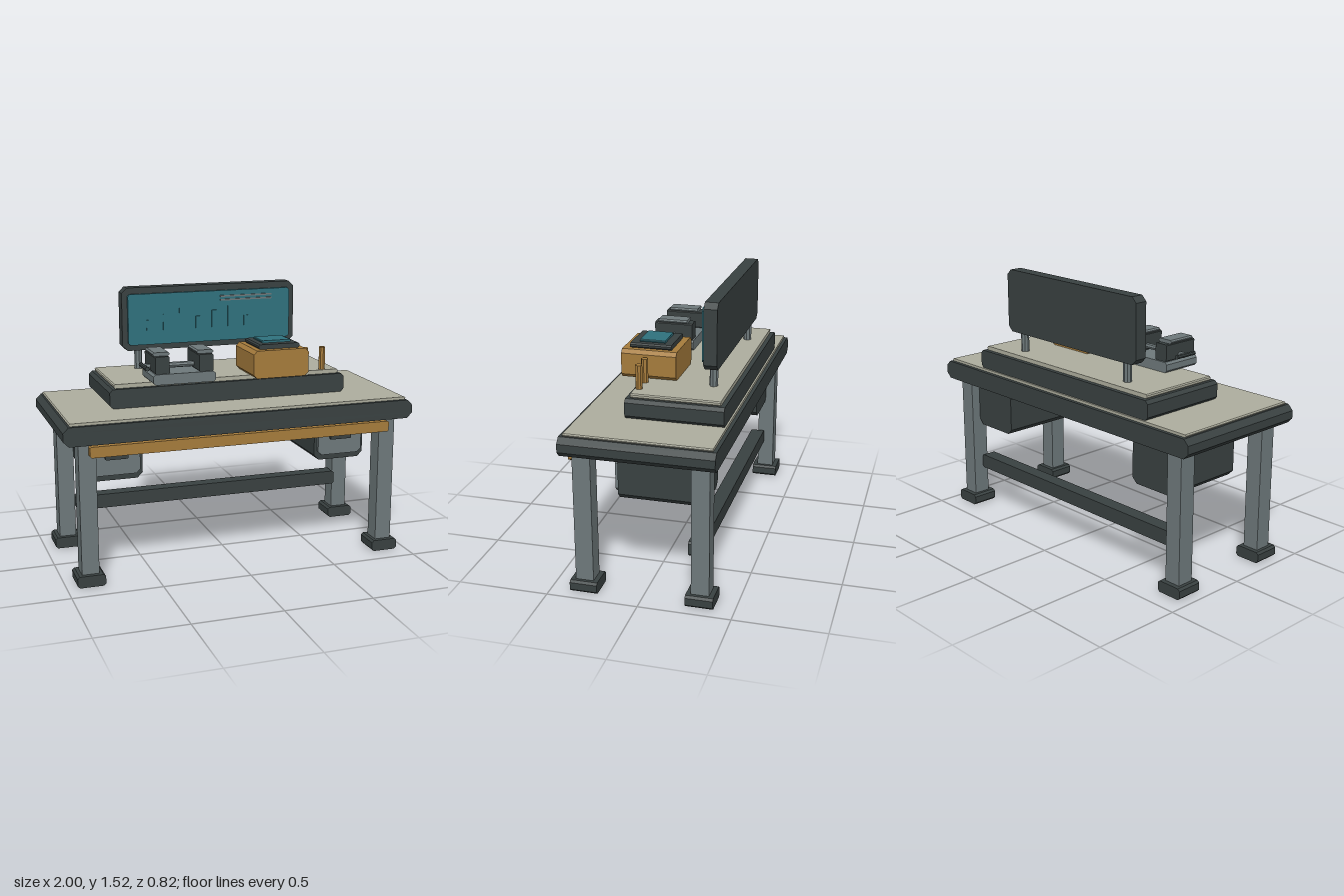
import * as THREE from 'three';

const paint = (name, color) => {
  const m = new THREE.MeshStandardMaterial({ color });
  m.name = name;
  return m;
};

export function createModel() {
  const dark = paint('charcoal', 0x394141);
  const steel = paint('blue grey steel', 0x6e797b);
  const beige = paint('pale beige', 0xaeae9e);
  const ochre = paint('ochre', 0xa67c3c);
  const teal = paint('teal', 0x2f717d);
  const model = new THREE.Group();
  model.name = 'workbench';

  const add = (name, geometry, material) => {
    const mesh = new THREE.Mesh(geometry, material);
    mesh.name = name;
    model.add(mesh);
    return mesh;
  };

  // Block from its limits; c cuts the four corners of its front outline
  const block = (name, material, [x0, x1], [y0, y1], [z0, z1], c = 0) => {
    let geometry;
    if (c > 0) {
      const outline = new THREE.Shape([
        [x0 + c, y0], [x1 - c, y0], [x1, y0 + c], [x1, y1 - c],
        [x1 - c, y1], [x0 + c, y1], [x0, y1 - c], [x0, y0 + c],
      ].map(([x, y]) => new THREE.Vector2(x, y)));
      geometry = new THREE.ExtrudeGeometry(outline, { depth: z1 - z0, bevelEnabled: false });
      geometry.translate(0, 0, z0);
    } else {
      geometry = new THREE.BoxGeometry(x1 - x0, y1 - y0, z1 - z0);
      geometry.translate((x0 + x1) / 2, (y0 + y1) / 2, (z0 + z1) / 2);
    }
    return add(name, geometry, material);
  };

  // Faceted round bar along one axis
  const bar = (name, material, r, length, axis, x, y, z, sides = 8) => {
    const geometry = new THREE.CylinderGeometry(r, r, length, sides).toNonIndexed();
    geometry.computeVertexNormals();
    if (axis === 'x') geometry.rotateZ(Math.PI / 2);
    if (axis === 'z') geometry.rotateX(Math.PI / 2);
    add(name, geometry, material).position.set(x, y, z);
  };

  const around = (centre, size) => [centre - size / 2, centre + size / 2];

  // Table top, work surface, front rail and rear stretcher
  block('tableTop', dark, [-1, 1], [0.795, 0.9], [-0.41, 0.41], 0.03);
  block('workSurface', beige, [-0.965, 0.965], [0.9, 0.915], [-0.39, 0.39], 0.006);
  block('frontRail', ochre, [-0.86, 0.86], [0.725, 0.785], [0.365, 0.405], 0.008);
  block('rearStretcher', dark, [-0.815, 0.815], [0.23, 0.312], [-0.305, -0.225], 0.012);

  for (const side of [-1, 1]) {
    // Legs and feet
    for (const end of [-1, 1]) {
      const x = side * 0.867, z = end * 0.315;
      block('leg', steel, around(x, 0.095), [0, 0.797], around(z, 0.098));
      block('foot', dark, around(x, 0.155), [0.003, 0.067], around(z, 0.15), 0.012);
    }
    // Drawer units under the top
    const x = side * 0.667;
    block('drawerCase', dark, around(x, 0.305), [0.515, 0.766], [-0.31, 0.15], 0.03);
    block('drawerFront', steel, around(x, 0.27), [0.548, 0.733], [0.15, 0.169], 0.022);
    block('drawerHandle', dark, around(x, 0.128), [0.64, 0.664], [0.169, 0.185], 0.004);
    // Posts holding the display
    bar('displayPost', steel, 0.023, 0.125, 'y', side * 0.423, 1.1, -0.262);
  }

  // Raised rear platform
  block('platform', dark, [-0.69, 0.69], [0.915, 1.022], [-0.38, 0.15], 0.018);
  block('platformSurface', beige, [-0.66, 0.66], [1.022, 1.045], [-0.355, 0.127], 0.006);

  // Display board with a raised panel, bars and two header lines
  block('displayFrame', dark, [-0.522, 0.522], [1.155, 1.516], [-0.3, -0.228], 0.03);
  block('displayPanel', teal, [-0.49, 0.49], [1.188, 1.48], [-0.228, -0.212], 0.012);
  [0.06, 0.09, 0.12, 0.07, 0.1, 0.12, 0.06].forEach((height, i) => {
    block('displayBar', teal, around(-0.37 + i * 0.098, 0.028), [1.27, 1.27 + height], [-0.212, -0.205]);
  });
  for (const y of [1.426, 1.448]) {
    block('displayLine', steel, [0.06, 0.375], around(y, 0.009), [-0.212, -0.204]);
  }

  // Bench vise: base, jaws, screw and turning handle
  block('viseBase', steel, [-0.465, -0.112], [1.047, 1.105], [-0.01, 0.228], 0.012);
  for (const x of [-0.412, -0.164]) {
    block('viseJaw', dark, around(x, 0.08), [1.105, 1.2], [0, 0.22], 0.005);
    block('viseJawCap', steel, around(x, 0.095), [1.2, 1.22], [0.03, 0.197], 0.008);
  }
  bar('viseScrew', steel, 0.016, 0.375, 'x', -0.297, 1.13, 0.107);
  bar('viseHandle', dark, 0.012, 0.14, 'z', -0.487, 1.13, 0.113);

  // Instrument box with a pad and a small screen on top
  block('instrumentBox', ochre, [0.102, 0.427], [1.047, 1.203], [-0.055, 0.248], 0.02);
  block('instrumentPad', dark, [0.144, 0.385], [1.203, 1.23], [-0.018, 0.21], 0.008);
  block('instrumentScreen', teal, [0.18, 0.35], [1.23, 1.243], [0.025, 0.165], 0.004);

  // Two standing pegs
  for (const x of [0.465, 0.57]) bar('peg', ochre, 0.019, 0.132, 'y', x, 1.11, 0.105);

  return model;
}
